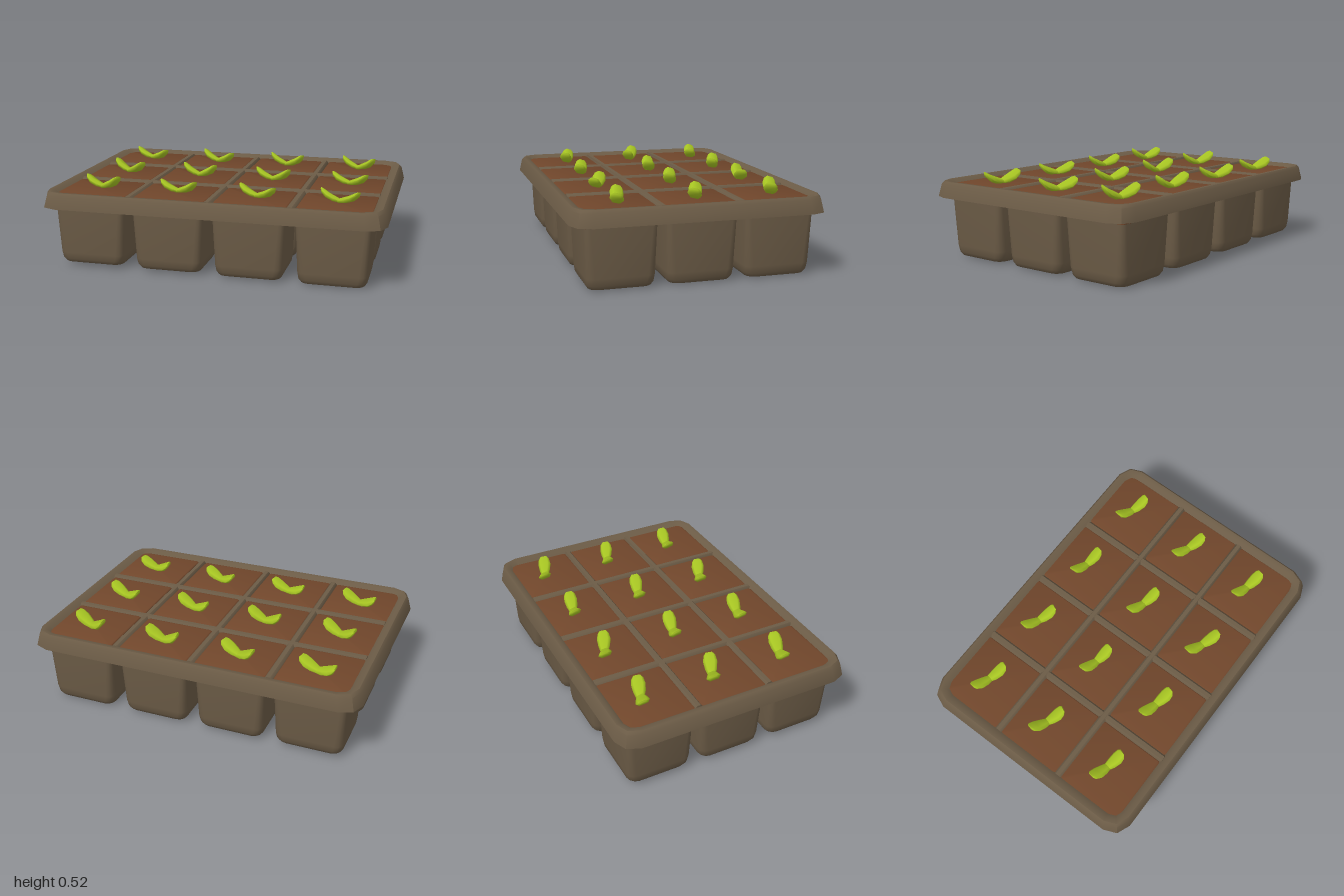
import * as THREE from 'three';
import { toCreasedNormals } from 'three/addons/utils/BufferGeometryUtils.js';

// Rounded-rectangle outline in the xz plane
function outline([hx, hz, r, y, cx = 0], steps) {
  const pts = [];
  [[1, 1], [-1, 1], [-1, -1], [1, -1]].forEach(([sx, sz], q) => {
    for (let i = 0; i <= steps; i++) {
      const a = (q + i / steps) * Math.PI / 2;
      pts.push([cx + sx * (hx - r) + r * Math.cos(a), y, sz * (hz - r) + r * Math.sin(a)]);
    }
  });
  return pts;
}

// Skin a stack of outlines; either capped at both ends or closed into a hollow frame
function loft(sections, { steps = 3, frame = false, crease = 0.75 } = {}) {
  const rings = sections.map((s) => outline(s, steps));
  const n = rings[0].length, m = rings.length, pos = rings.flat(2), idx = [];
  for (let i = 0; i < (frame ? m : m - 1); i++) {
    const k = (i + 1) % m;
    for (let j = 0; j < n; j++) {
      const l = (j + 1) % n;
      const a = i * n + j, b = i * n + l, c = k * n + j, d = k * n + l;
      idx.push(a, c, b, b, c, d);
    }
  }
  if (!frame) {
    const top = (m - 1) * n;
    for (let j = 1; j < n - 1; j++) {
      idx.push(0, j, j + 1, top, top + j + 1, top + j);
    }
  }
  const g = new THREE.BufferGeometry();
  g.setAttribute('position', new THREE.Float32BufferAttribute(pos, 3));
  g.setIndex(idx);
  return toCreasedNormals(g, crease);
}

export function createModel() {
  const plastic = new THREE.MeshStandardMaterial({ name: 'trayBrown', color: 0x6b5b46 });
  const earth = new THREE.MeshStandardMaterial({ name: 'soilBrown', color: 0x70462b });
  const green = new THREE.MeshStandardMaterial({ name: 'leafGreen', color: 0xa6c422 });

  const model = new THREE.Group();
  model.name = 'seedlingTray';
  const add = (name, geometry, material, parent = model) => {
    const mesh = new THREE.Mesh(geometry, material);
    mesh.name = name;
    parent.add(mesh);
    return mesh;
  };

  // Rim: flared outer skirt, flat top, sloping inner lip
  add('rim', loft([
    [1.0, 0.715, 0.11, 0.365],
    [0.982, 0.70, 0.105, 0.44],
    [0.968, 0.688, 0.10, 0.456],
    [0.94, 0.662, 0.08, 0.454],
    [0.905, 0.63, 0.05, 0.425],
    [0.905, 0.63, 0.05, 0.372],
  ], { steps: 2, frame: true }), plastic);

  // Dividers between the cells
  for (const x of [-0.474, -0.006, 0.466]) {
    const d = add('lengthDivider', loft([
      [0.027, 0.645, 0.004, 0.372], [0.024, 0.645, 0.004, 0.432], [0.012, 0.645, 0.004, 0.446],
    ], { steps: 1 }), plastic);
    d.position.x = x;
  }
  for (const z of [-0.23, 0.215]) {
    const d = add('crossDivider', loft([
      [0.92, 0.027, 0.004, 0.374], [0.92, 0.024, 0.004, 0.434], [0.92, 0.012, 0.004, 0.448],
    ], { steps: 1 }), plastic);
    d.position.z = z;
  }

  // Shared shapes for every cell
  const cup = loft([
    [0.150, 0.142, 0.04, 0.0],
    [0.180, 0.172, 0.05, 0.008],
    [0.193, 0.185, 0.05, 0.03],
    [0.198, 0.190, 0.045, 0.07],
    [0.207, 0.198, 0.03, 0.36],
  ], { crease: 1.0 });
  const soil = loft([
    [0.212, 0.204, 0.01, 0.348], [0.212, 0.204, 0.01, 0.432], [0.207, 0.198, 0.01, 0.437],
  ], { steps: 1 });
  const leaf = loft([
    [0.010, 0.022, 0.009, -0.012, 0],
    [0.016, 0.034, 0.014, 0.03, 0.008],
    [0.016, 0.040, 0.014, 0.075, 0.010],
    [0.011, 0.034, 0.010, 0.110, 0.002],
    [0.004, 0.020, 0.004, 0.126, -0.006],
  ], { steps: 1, crease: 0.9 });

  // Cells: cup, soil plug and a two-leaf sprout
  [-0.712, -0.242, 0.23, 0.705].forEach((x, col) => {
    [-0.45, -0.007, 0.437].forEach((z, row) => {
      const cell = new THREE.Group();
      cell.name = 'cell';
      cell.position.set(x, 0, z);
      model.add(cell);

      const pot = add('cup', cup, plastic, cell);
      const base = 0.015 - 0.005 * col;
      pot.position.y = base;
      pot.scale.y = (0.362 - base) / 0.36;
      add('soil', soil, earth, cell);

      const sprout = new THREE.Group();
      sprout.name = 'sprout';
      sprout.position.set(0.006, 0.448, -0.022);
      sprout.rotation.y = -0.3 - 0.09 * Math.sin(col * 2.3 + row * 1.7);
      cell.add(sprout);
      for (const side of [0, 1]) {
        const pivot = new THREE.Group();
        pivot.name = 'leafPivot';
        pivot.rotation.y = side * Math.PI + (side ? 0.12 : -0.08);
        sprout.add(pivot);
        const blade = add('leaf', leaf, green, pivot);
        blade.rotation.set(side ? 0.3 : -0.2, 0, -1.12 - 0.05 * Math.cos(col + row * 2 + side));
      }
    });
  });
  return model;
}
